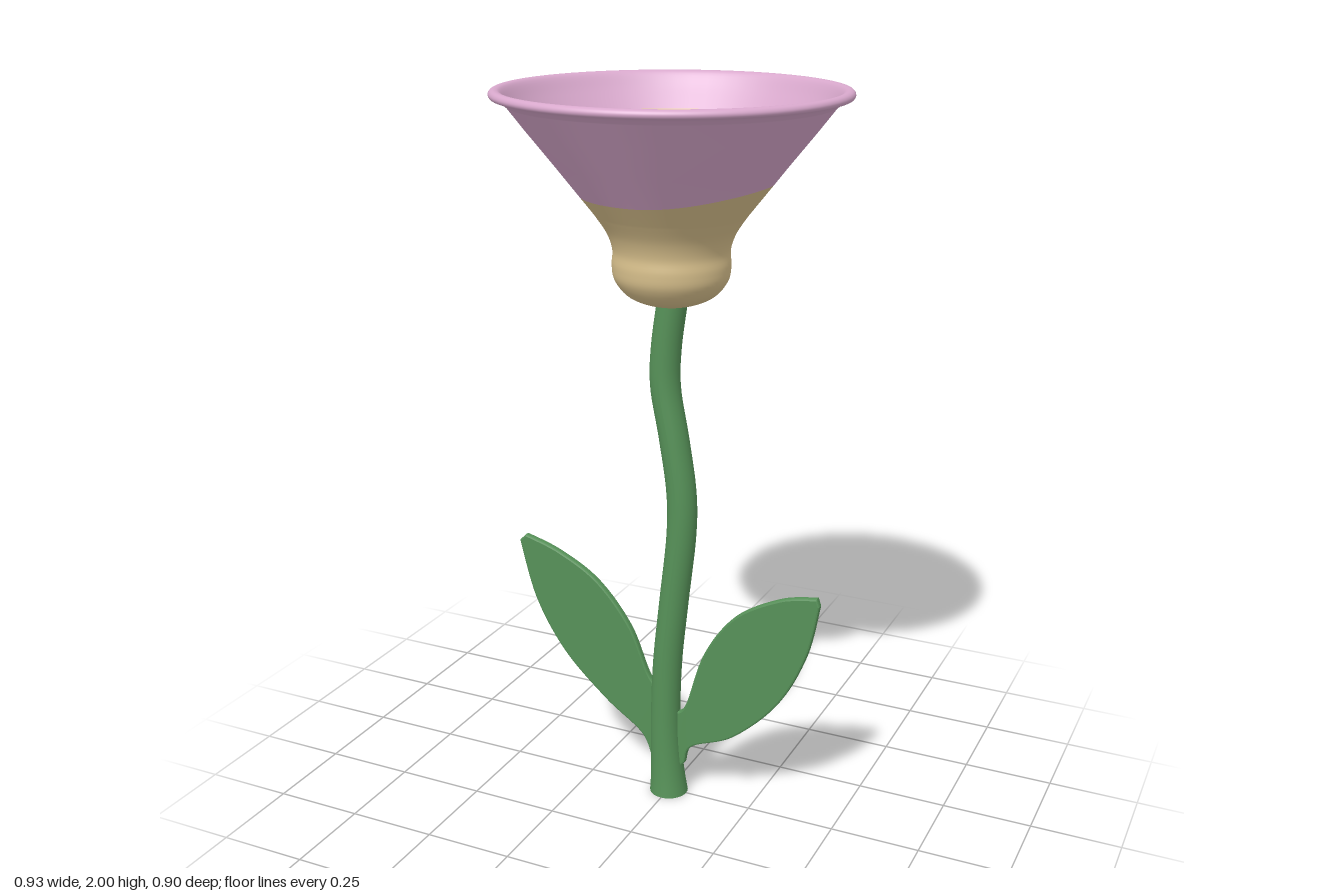
import * as THREE from 'three';

const paint = (name, color) => {
  const m = new THREE.MeshStandardMaterial({ color });
  m.name = name;
  return m;
};
const vecs = (list) => list.map(([x, y]) => new THREE.Vector2(x, y));

export function createModel() {
  const green = paint('leafGreen', 0x569158);
  const pink = paint('petalPink', 0xd8a8cc);
  const cream = paint('creamYellow', 0xd8c08c);
  const sage = paint('paleSage', 0xb2b097);
  const purple = paint('throatPurple', 0xab62b5);

  const model = new THREE.Group();
  model.name = 'flower';
  const add = (parent, name, geometry, material) => {
    const mesh = new THREE.Mesh(geometry, material);
    mesh.name = name;
    parent.add(mesh);
    return mesh;
  };

  // Stem: a cylinder bent along a curve, flared at the foot
  const path = new THREE.SplineCurve(vecs([
    [0, 0], [-0.01, 0.2], [-0.005, 0.4], [0.015, 0.6], [0.037, 0.8], [0.037, 0.93],
    [0.015, 1.08], [-0.01, 1.22], [-0.008, 1.33], [0.01, 1.46],
  ]));
  const stem = new THREE.CylinderGeometry(1, 1, 1, 28, 60);
  const sp = stem.attributes.position;
  for (let i = 0; i < sp.count; i++) {
    const c = path.getPoint(sp.getY(i) + 0.5);
    const r = 0.041 + 0.014 * Math.exp(-c.y / 0.1);
    sp.setXYZ(i, c.x + sp.getX(i) * r, c.y, sp.getZ(i) * r);
  }
  stem.computeVertexNormals();
  add(model, 'stem', stem, green);

  // Leaves: thin outlines with softened edges, joined to the stem
  const leaf = (name, upper, lower) => {
    const shape = new THREE.Shape();
    shape.moveTo(...upper[0]);
    shape.splineThru(vecs(upper.slice(1)));
    shape.lineTo(...lower[0]);
    shape.splineThru(vecs(lower.slice(1)));
    const geometry = new THREE.ExtrudeGeometry(shape, {
      depth: 0.01, curveSegments: 30, bevelEnabled: true,
      bevelThickness: 0.005, bevelSize: 0.005, bevelOffset: -0.005, bevelSegments: 2,
    });
    geometry.translate(0, 0, -0.005);
    add(model, name, geometry, green);
  };
  leaf('leftLeaf',
    [[0.02, 0.08], [0.05, 0.1], [0.075, 0.16], [0.2, 0.22], [0.33, 0.35], [0.41, 0.51], [0.445, 0.67]],
    [[0.437, 0.693], [0.33, 0.668], [0.2, 0.59], [0.11, 0.46], [0.055, 0.29], [0.02, 0.26]]);
  leaf('rightLeaf',
    [[-0.02, 0.32], [-0.06, 0.36], [-0.12, 0.5], [-0.22, 0.62], [-0.34, 0.69], [-0.45, 0.725]],
    [[-0.47, 0.705], [-0.42, 0.53], [-0.33, 0.38], [-0.2, 0.255], [-0.085, 0.17], [-0.05, 0.1], [-0.02, 0.08]]);

  // Bloom: one continuous wall, split by colour into lathed sections
  const bloom = new THREE.Group();
  bloom.name = 'bloom';
  bloom.position.x = 0.007;
  bloom.scale.z = 0.987;
  model.add(bloom);
  const seam = [0.237, 1.735];
  const slope = (0.42 - 0.237) / (1.965 - 1.735);
  const section = (name, points, material, wavy) => {
    const geometry = new THREE.LatheGeometry(vecs(points), 64);
    if (wavy) { // the outer colour line rises on one side, sliding along the cone
      const p = geometry.attributes.position;
      for (let i = 0; i < p.count; i++) {
        const r = Math.hypot(p.getX(i), p.getZ(i));
        if (Math.abs(p.getY(i) - seam[1]) > 0.001) continue;
        const rise = 0.035 * Math.max(0, p.getX(i) / r) ** 2;
        const k = (r + rise * slope) / r;
        p.setXYZ(i, p.getX(i) * k, p.getY(i) + rise, p.getZ(i) * k);
      }
    }
    add(bloom, name, geometry, material);
  };
  const smooth = (list, n) => new THREE.SplineCurve(vecs(list)).getPoints(n).map((p) => [Math.max(0, p.x), p.y]);

  section('outerBulb', [
    ...smooth([[0, 1.445], [0.06, 1.452], [0.115, 1.475], [0.148, 1.515], [0.155, 1.555],
      [0.153, 1.595], [0.168, 1.64], [0.2, 1.688]], 36), seam], cream, true);
  section('petalRim', [seam, [0.3, 1.815], [0.37, 1.902],
    ...smooth([[0.415, 1.96], [0.435, 1.975], [0.452, 1.979], [0.457, 1.988], [0.452, 1.997],
      [0.44, 2], [0.425, 1.992], [0.4, 1.955], [0.362, 1.905]], 36)], pink, true);
  section('innerCone', [[0.362, 1.905], [0.29, 1.815], [0.225, 1.73], [0.172, 1.66]], cream);
  section('throatRing', smooth([[0.172, 1.66], [0.15, 1.63], [0.136, 1.595]], 6), sage);
  section('throatBowl', smooth([[0.136, 1.595], [0.137, 1.555], [0.122, 1.515], [0.08, 1.485],
    [0, 1.472]], 20), purple);

  return model;
}
